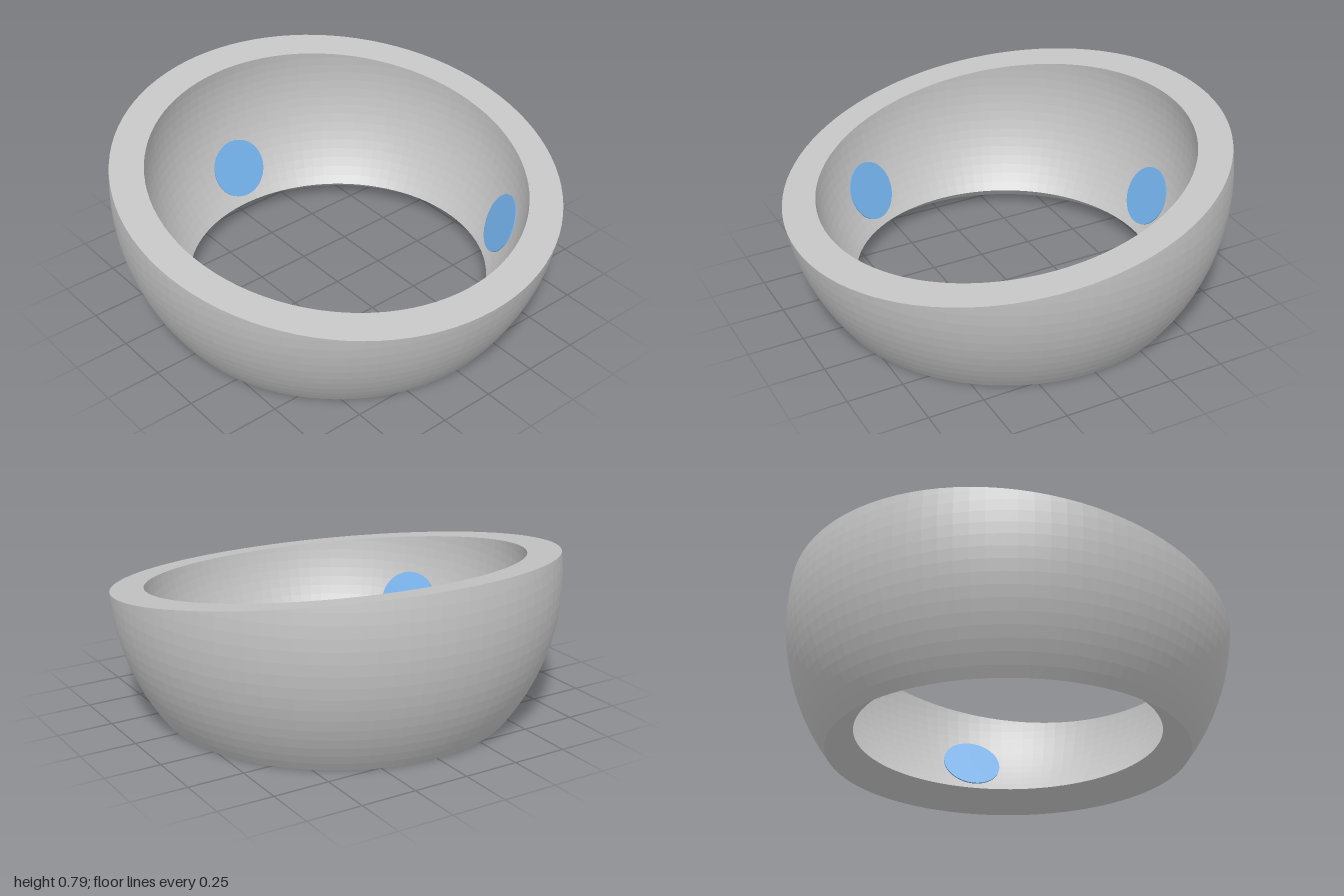
import * as THREE from 'three';

const CENTER_Y = 0.6, CENTER_Z = 0.005;
const OUTER = 1, INNER = 0.85;
const SEGMENTS = 96, ROWS = 18;
const BOTTOM = -Math.asin(0.6);          // elevation of the radial bottom cut
const STEP = THREE.MathUtils.degToRad(3);
const SLOPE = 0.175, RISE = 0.022;       // sloping top plane

// Elevation where the top plane meets a sphere of radius r at an azimuth
function topElevation(r, azimuth) {
  const k = SLOPE * Math.cos(azimuth);
  return Math.asin(RISE / (r * Math.hypot(1, k))) - Math.atan(k);
}

function spherePoint(r, azimuth, elevation) {
  return [
    r * Math.cos(elevation) * Math.sin(azimuth),
    r * Math.sin(elevation),
    r * Math.cos(elevation) * Math.cos(azimuth),
  ];
}

// Surface point on a latitude row, clipped by the sloping plane
function rowPoint(r, i, row) {
  const azimuth = (i / SEGMENTS) * Math.PI * 2;
  const top = topElevation(r, azimuth);
  const elevation = row === ROWS ? top : Math.min(BOTTOM + row * STEP, top);
  return spherePoint(r, azimuth, elevation);
}

// Flat-shaded geometry from quads (a, b, c, d counter-clockwise), dropping collapsed triangles
function quadGeometry(quads) {
  const same = (p, q) => Math.hypot(p[0] - q[0], p[1] - q[1], p[2] - q[2]) < 1e-6;
  const positions = [];
  for (const [a, b, c, d] of quads) {
    for (const [p, q, s] of [[a, b, c], [a, c, d]]) {
      if (!same(p, q) && !same(q, s) && !same(s, p)) positions.push(...p, ...q, ...s);
    }
  }
  const geometry = new THREE.BufferGeometry();
  geometry.setAttribute('position', new THREE.Float32BufferAttribute(positions, 3));
  geometry.computeVertexNormals();
  return geometry;
}

function wallQuads(r, inward) {
  const quads = [];
  for (let i = 0; i < SEGMENTS; i++) {
    for (let row = 0; row < ROWS; row++) {
      const quad = [
        rowPoint(r, i, row), rowPoint(r, i + 1, row),
        rowPoint(r, i + 1, row + 1), rowPoint(r, i, row + 1),
      ];
      quads.push(inward ? quad.reverse() : quad);
    }
  }
  return quads;
}

// Ring joining the two walls along one row
function rimQuads(row, upward) {
  const quads = [];
  for (let i = 0; i < SEGMENTS; i++) {
    const quad = [
      rowPoint(OUTER, i, row), rowPoint(OUTER, i + 1, row),
      rowPoint(INNER, i + 1, row), rowPoint(INNER, i, row),
    ];
    quads.push(upward ? quad : quad.reverse());
  }
  return quads;
}

export function createModel() {
  const model = new THREE.Group();
  model.name = 'slantedRingBowl';
  const shellGrey = new THREE.MeshStandardMaterial({ name: 'shellGrey', color: 0xc4c4c4 });
  const padBlue = new THREE.MeshStandardMaterial({ name: 'padBlue', color: 0x73b0ea });

  const add = (name, geometry, material) => {
    const mesh = new THREE.Mesh(geometry, material);
    mesh.name = name;
    mesh.position.set(0, CENTER_Y, CENTER_Z);
    model.add(mesh);
    return mesh;
  };

  // Spherical shell, open at both ends
  add('outerWall', quadGeometry(wallQuads(OUTER, false)), shellGrey);
  add('innerWall', quadGeometry(wallQuads(INNER, true)), shellGrey);
  add('slopingTopRim', quadGeometry(rimQuads(ROWS, true)), shellGrey);
  add('conicalBottomRim', quadGeometry(rimQuads(0, false)), shellGrey);

  // Three round pads set into the inner wall, facing the centre
  const padGeometry = new THREE.CylinderGeometry(0.138, 0.138, 0.04, 48);
  const up = new THREE.Vector3(0, 1, 0);
  const elevation = THREE.MathUtils.degToRad(-25);
  ['leftPad', 'backPad', 'rightPad'].forEach((name, i) => {
    const azimuth = Math.PI / 3 + (i * Math.PI * 2) / 3;
    const direction = new THREE.Vector3(...spherePoint(1, azimuth, elevation));
    const pad = add(name, padGeometry, padBlue);
    pad.quaternion.setFromUnitVectors(up, direction.clone().negate());
    pad.position.addScaledVector(direction, 0.833 + 0.02);
  });

  return model;
}
